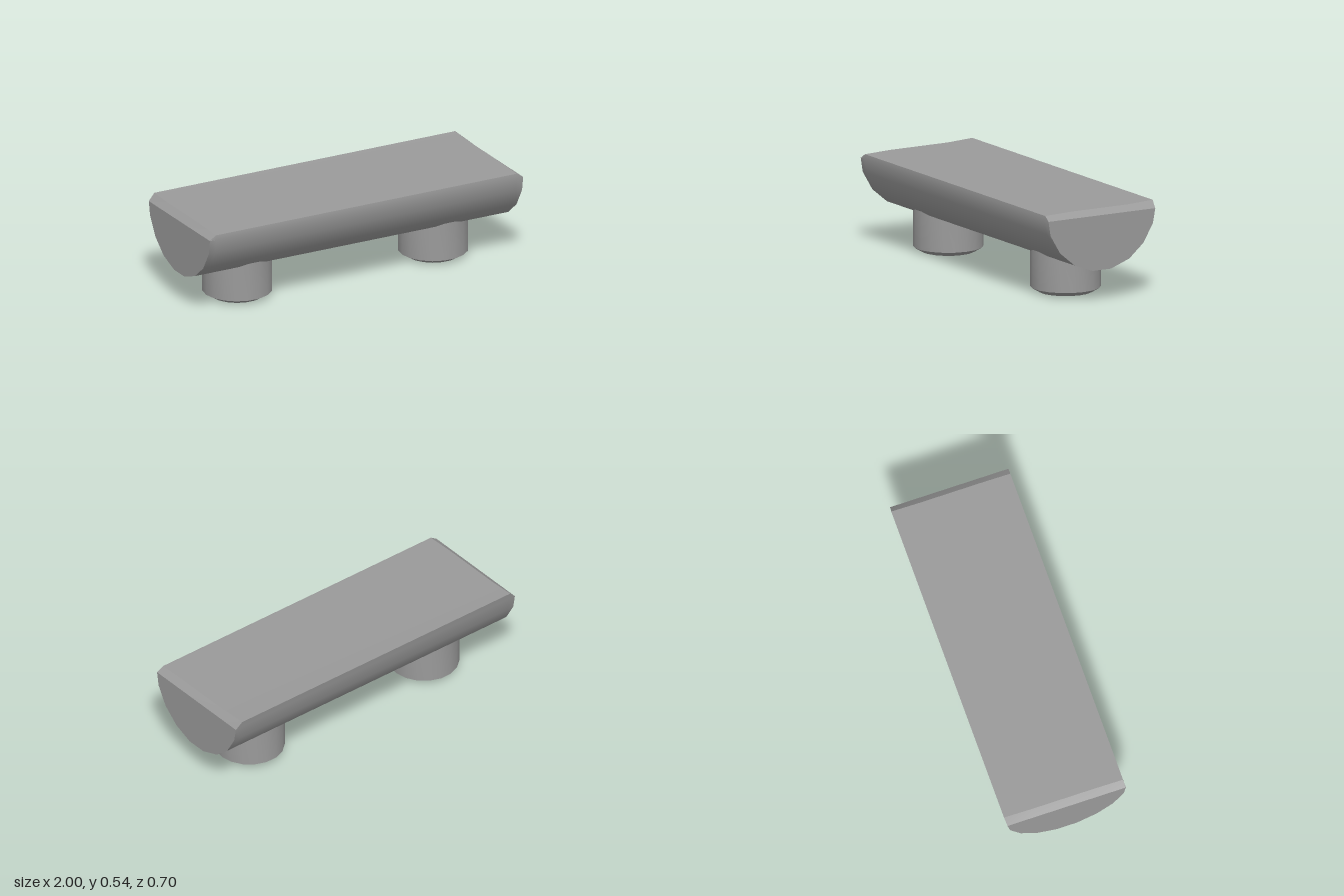
import * as THREE from 'three';
import { toCreasedNormals } from 'three/addons/utils/BufferGeometryUtils.js';

const CREASE = 0.48;

// Half-log cross-section as [z, y], from the front top edge, under the log, to the back and over the seat
const PROFILE = [
  [0.35, 0.526], [0.353, 0.5], [0.34, 0.418], [0.277, 0.311], [0.182, 0.232],
  [0.065, 0.188], [-0.055, 0.188], [-0.175, 0.232], [-0.268, 0.312],
  [-0.33, 0.418], [-0.345, 0.5], [-0.352, 0.54], [-0.19, 0.532], [0.18, 0.532],
];
const RIM = 0.5; // height of the log's end faces, where the bevel starts

function logGeometry() {
  const n = PROFILE.length;
  const positions = [];
  const index = [];
  // Four sections: the outer two are cut down to the rim for the bevelled ends
  for (const x of [-1, -0.96, 0.96, 1]) {
    const isEnd = Math.abs(x) === 1;
    for (const [z, y] of PROFILE) {
      positions.push(x, isEnd ? Math.min(y, RIM) : y, isEnd ? Math.max(z, -0.345) : z);
    }
  }
  // Skin between neighbouring sections
  for (let s = 0; s < 3; s++) {
    for (let i = 0; i < n; i++) {
      const j = (i + 1) % n;
      const a = s * n + i, b = a + n, c = (s + 1) * n + j, d = s * n + j;
      index.push(a, c, b, a, d, c);
    }
  }
  // Flat end faces below the rim
  for (let i = 1; i < 10; i++) {
    index.push(0, i + 1, i);
    index.push(3 * n, 3 * n + i, 3 * n + i + 1);
  }
  const geometry = new THREE.BufferGeometry();
  geometry.setAttribute('position', new THREE.Float32BufferAttribute(positions, 3));
  geometry.setIndex(index);
  return toCreasedNormals(geometry, CREASE);
}

// Round stump with a bevelled foot; its top is buried in the log and a flat side faces the front
function stumpGeometry() {
  const sides = 18;
  const points = [[0, 0], [0.151, 0], [0.197, 0.027], [0.197, 0.27], [0, 0.27]]
    .map(([r, y]) => new THREE.Vector2(r, y));
  return toCreasedNormals(new THREE.LatheGeometry(points, sides, Math.PI / sides), CREASE);
}

export function createModel() {
  const group = new THREE.Group();
  group.name = 'logBench';
  const material = new THREE.MeshStandardMaterial({ color: 0x9a9a9a });

  const seat = new THREE.Mesh(logGeometry(), material);
  seat.name = 'halfLogSeat';
  group.add(seat);

  const stump = stumpGeometry();
  for (const [name, x] of [['rightStump', -0.633], ['leftStump', 0.618]]) {
    const leg = new THREE.Mesh(stump, material);
    leg.name = name;
    leg.position.set(x, 0, 0.007);
    group.add(leg);
  }
  return group;
}
